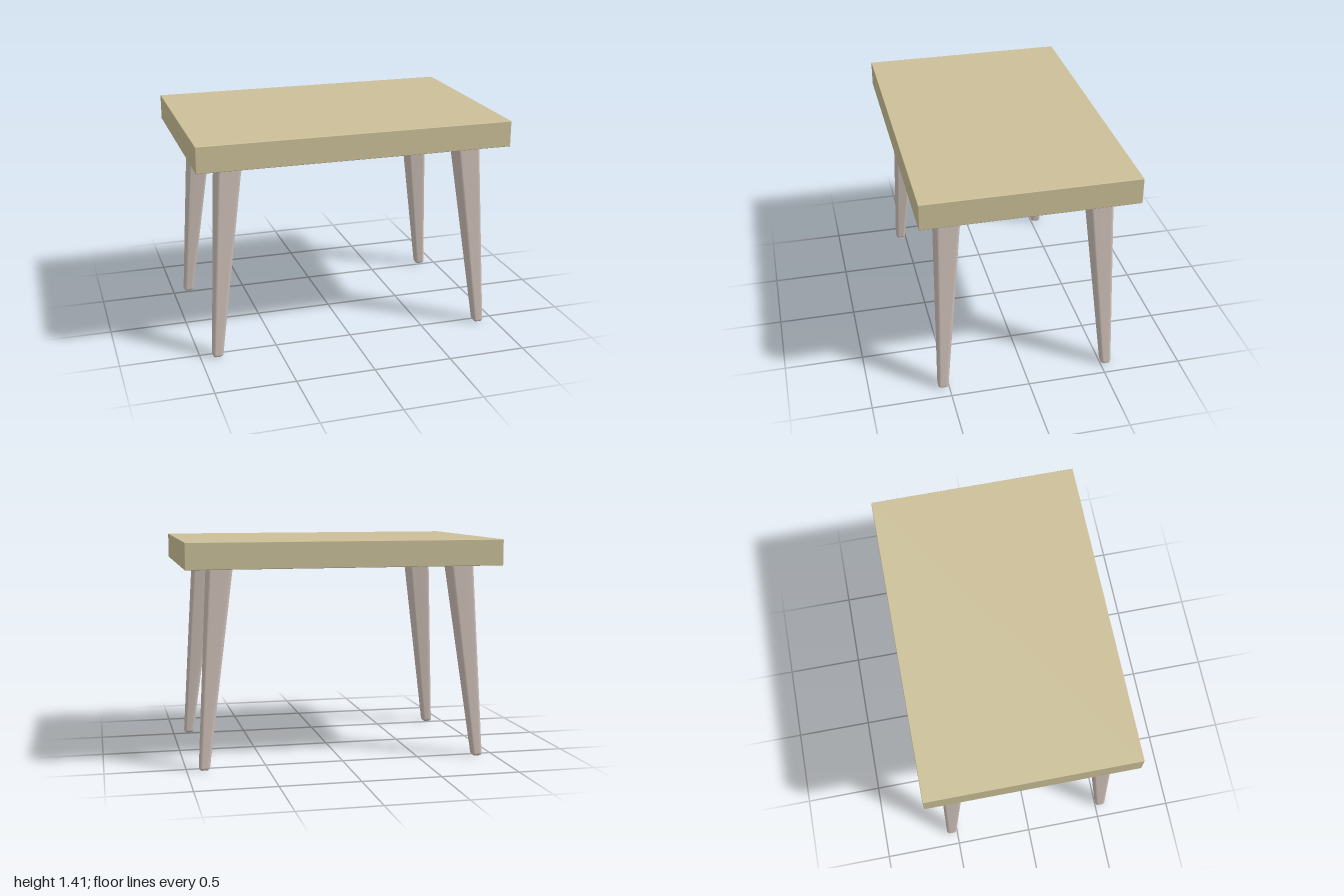
import * as THREE from 'three';
import { RoundedBoxGeometry } from 'three/addons/geometries/RoundedBoxGeometry.js';

const LEG_HEIGHT = 1.25;
const CORNER = 0.02; // rounding of the leg edges and foot
const STEPS = 5; // segments per rounded corner

// Outline of a rounded square as [x, z] pairs
function roundedSquare(half, radius) {
  const points = [];
  for (let corner = 0; corner < 4; corner++) {
    const mid = (corner + 0.5) * Math.PI / 2;
    const cx = Math.sign(Math.cos(mid)) * (half - radius);
    const cz = Math.sign(Math.sin(mid)) * (half - radius);
    for (let i = 0; i <= STEPS; i++) {
      const a = (corner + i / STEPS) * Math.PI / 2;
      points.push([cx + radius * Math.cos(a), cz + radius * Math.sin(a)]);
    }
  }
  return points;
}

// Tapered, splayed leg lofted from rounded squares, with a rounded foot
function legGeometry(sx, sz) {
  const rings = [{ y: 0, inset: CORNER * 0.97 }];
  for (let i = 1; i <= 4; i++) {
    const a = i / 4 * Math.PI / 2;
    rings.push({ y: CORNER * (1 - Math.cos(a)), inset: CORNER * 0.97 * (1 - Math.sin(a)) });
  }
  rings.push({ y: LEG_HEIGHT, inset: 0 });

  const positions = [], index = [];
  const count = 4 * (STEPS + 1);
  for (const { y, inset } of rings) {
    const t = y / LEG_HEIGHT;
    const half = THREE.MathUtils.lerp(0.033, 0.077, t) - inset;
    const cx = sx * THREE.MathUtils.lerp(0.891, 0.773, t);
    const cz = sz * THREE.MathUtils.lerp(0.537, 0.464, t);
    for (const [x, z] of roundedSquare(half, CORNER - inset)) positions.push(cx + x, y, cz + z);
  }
  for (let r = 0; r < rings.length - 1; r++) {
    for (let j = 0; j < count; j++) {
      const a = r * count + j, b = r * count + (j + 1) % count;
      index.push(a, a + count, b, b, a + count, b + count);
    }
  }
  // sole of the foot
  const centre = positions.length / 3;
  positions.push(sx * 0.891, 0, sz * 0.537);
  for (let j = 0; j < count; j++) index.push(centre, j, (j + 1) % count);

  const geometry = new THREE.BufferGeometry();
  geometry.setAttribute('position', new THREE.Float32BufferAttribute(positions, 3));
  geometry.setIndex(index);
  geometry.computeVertexNormals();
  return geometry;
}

export function createModel() {
  const model = new THREE.Group();
  model.name = 'table';

  // Thick slab with barely eased edges
  const topMaterial = new THREE.MeshStandardMaterial({ color: 0xcbc098 });
  const top = new THREE.Mesh(new RoundedBoxGeometry(2, 0.165, 1.326, 2, 0.004), topMaterial);
  top.name = 'tableTop';
  top.position.y = LEG_HEIGHT + 0.0825;
  model.add(top);

  // Four legs leaning outwards
  const legMaterial = new THREE.MeshStandardMaterial({ color: 0xcdbfb7 });
  for (const sx of [1, -1]) {
    for (const sz of [1, -1]) {
      const leg = new THREE.Mesh(legGeometry(sx, sz), legMaterial);
      leg.name = (sz > 0 ? 'front' : 'back') + (sx > 0 ? 'Left' : 'Right') + 'Leg';
      model.add(leg);
    }
  }
  return model;
}
